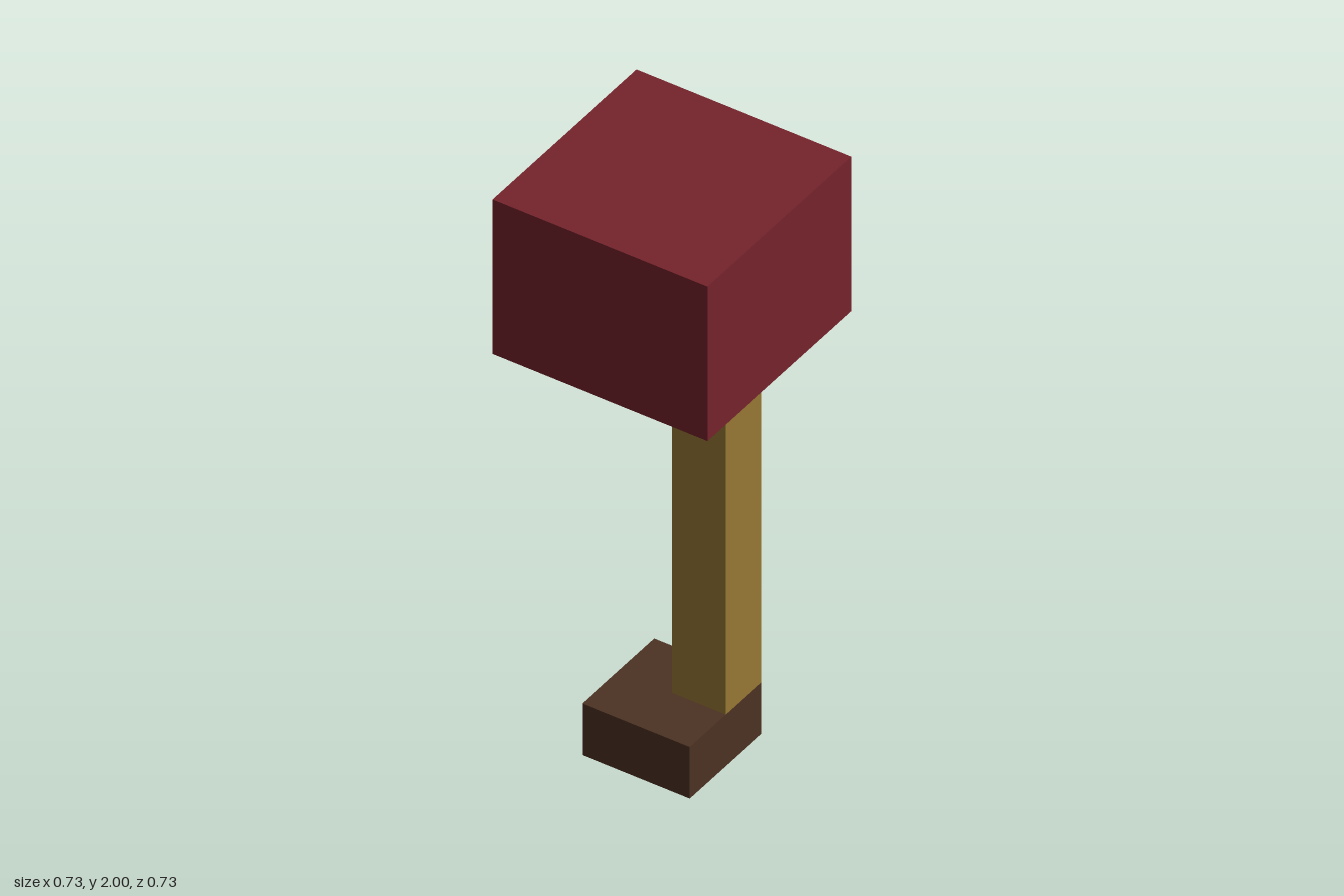
import * as THREE from 'three';

const U = 2 / 11; // one block: the model is eleven blocks tall

function material(name, color, side = THREE.FrontSide) {
  const m = new THREE.MeshStandardMaterial({ color, side });
  m.name = name;
  return m;
}

// Box sized in blocks, placed by the centre of its underside
function block(name, mat, [w, h, d], [x, y, z]) {
  const geometry = new THREE.BoxGeometry(w * U, h * U, d * U);
  geometry.translate(x * U, (y + h / 2) * U, z * U);
  const mesh = new THREE.Mesh(geometry, mat);
  mesh.name = name;
  return mesh;
}

// Drops the underside (fourth face of a box) to leave a hollow shell
function openBottom(mesh) {
  const index = Array.from(mesh.geometry.index.array);
  index.splice(18, 6);
  mesh.geometry.setIndex(index);
  mesh.geometry.clearGroups();
  return mesh;
}

export function createModel() {
  const darkBrown = material('dark brown', 0x4c3222, THREE.DoubleSide);
  const tan = material('tan', 0x967733);
  const darkRed = material('dark red', 0x75222b);

  const model = new THREE.Group();
  model.name = 'blockPost';
  model.add(
    // Hollow base, open underneath
    openBottom(block('base', darkBrown, [2, 1, 2], [0, 0, 0])),
    // Post on the back left quarter of the base
    block('post', tan, [1, 7, 1], [0.5, 1, -0.5]),
    // Large head block
    block('head', darkRed, [4, 3, 4], [0, 8, 0])
  );
  return model;
}
